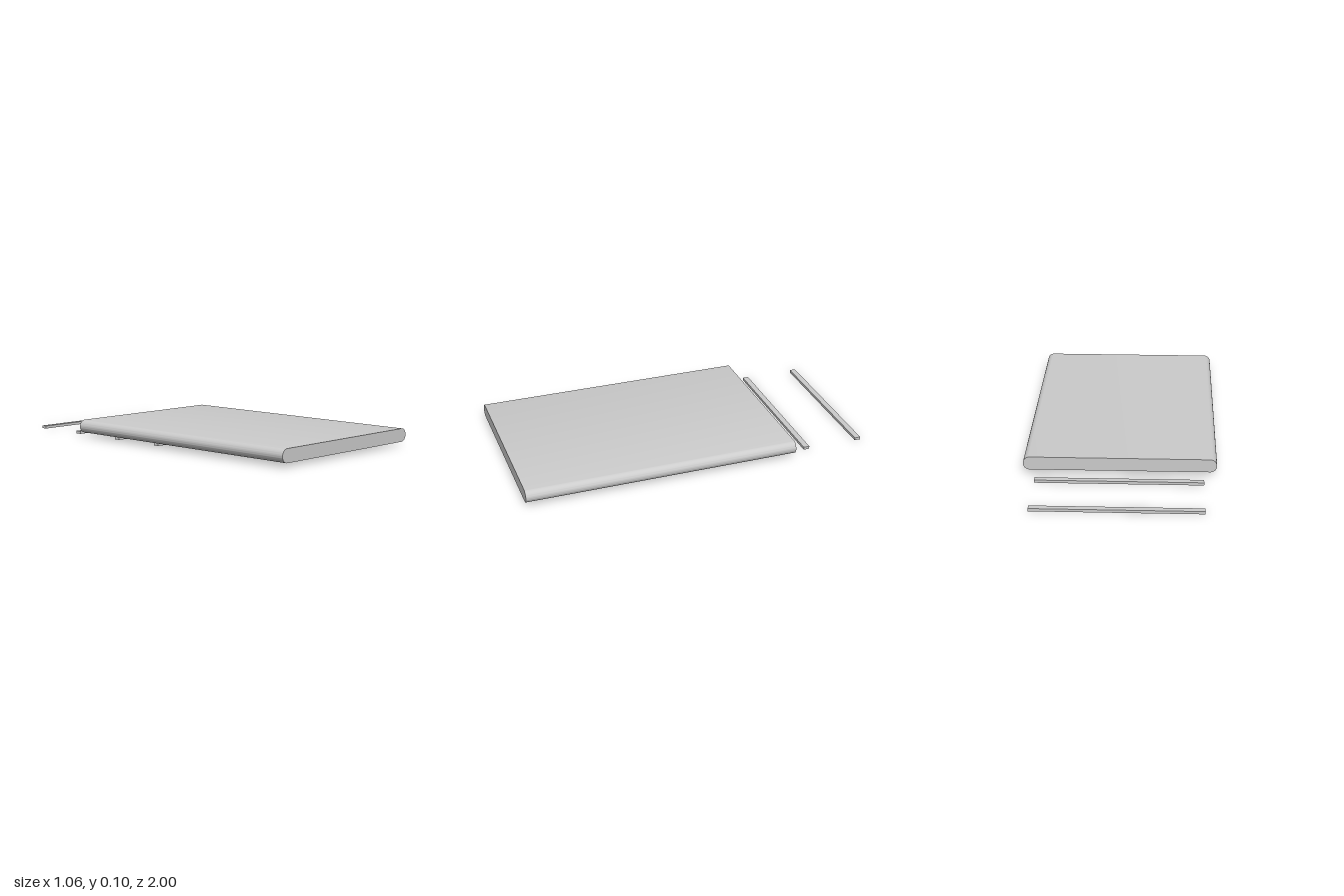
import * as THREE from 'three';
import { toCreasedNormals } from 'three/addons/utils/BufferGeometryUtils.js';

export function createModel() {
  const model = new THREE.Group();
  model.name = 'mattressAndSlats';
  const grey = new THREE.MeshStandardMaterial({ color: 0xcccccc });

  // Mattress: a slab with fully rounded long sides, extruded along z
  const halfWidth = 0.53, bottom = 0.022, top = 0.097, back = -0.56, front = 1;
  const radius = (top - bottom) / 2, midY = (top + bottom) / 2;
  const profile = new THREE.Shape();
  profile.absarc(halfWidth - radius, midY, radius, -Math.PI / 2, Math.PI / 2, false);
  profile.absarc(-halfWidth + radius, midY, radius, Math.PI / 2, Math.PI * 1.5, false);
  profile.closePath();
  const slab = new THREE.ExtrudeGeometry(profile, {
    depth: front - back, bevelEnabled: false, curveSegments: 16,
  });
  const mattress = new THREE.Mesh(toCreasedNormals(slab, Math.PI / 6), grey);
  mattress.name = 'mattress';
  mattress.position.z = back;
  model.add(mattress);

  // Slats: four thin bars across the width, running out behind the mattress
  const slatGeometry = new THREE.BoxGeometry(0.917, 0.016, 0.034);
  const slats = new THREE.Group();
  slats.name = 'slats';
  [0.01, -0.316, -0.659, -0.983].forEach((z, i) => {
    const slat = new THREE.Mesh(slatGeometry, grey);
    slat.name = `slat${i + 1}`;
    slat.position.set(0, 0.008, z);
    slats.add(slat);
  });
  model.add(slats);

  return model;
}
